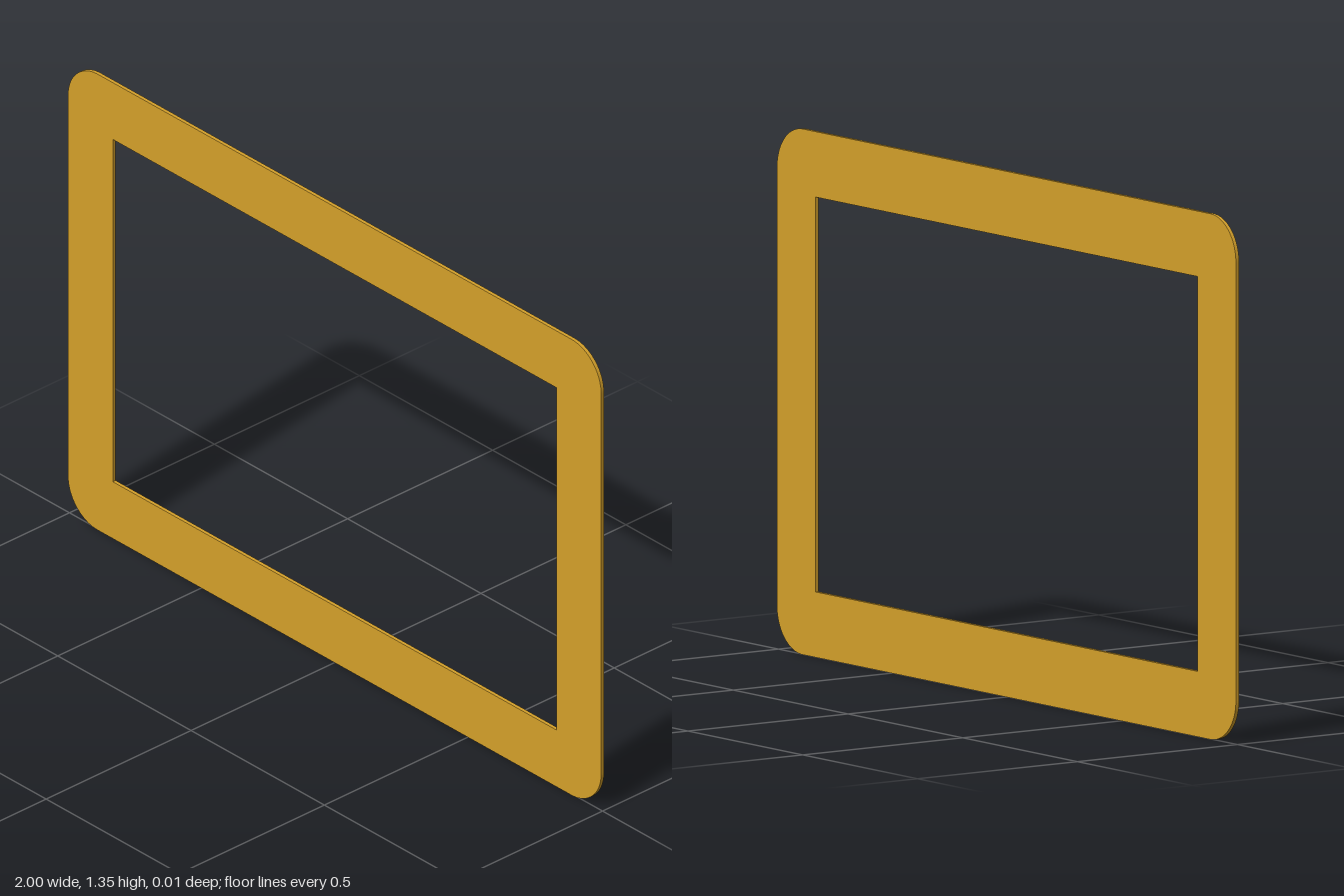
import * as THREE from 'three';

const WIDTH = 2, HEIGHT = 1.35, DEPTH = 0.01, BORDER = 0.168, RADIUS = 0.112;

// Rectangle outline with rounded corners, standing on y = 0
function roundedRect(w, h, r) {
  const s = new THREE.Shape();
  const x = w / 2;
  s.moveTo(-x + r, 0);
  s.lineTo(x - r, 0);
  s.absarc(x - r, r, r, -Math.PI / 2, 0);
  s.lineTo(x, h - r);
  s.absarc(x - r, h - r, r, 0, Math.PI / 2);
  s.lineTo(-x + r, h);
  s.absarc(-x + r, h - r, r, Math.PI / 2, Math.PI);
  s.lineTo(-x, r);
  s.absarc(-x + r, r, r, Math.PI, Math.PI * 1.5);
  return s;
}

// Square-cornered opening, wound clockwise
function opening(w, h, b) {
  const x = w / 2 - b;
  return new THREE.Path([
    new THREE.Vector2(-x, b), new THREE.Vector2(-x, h - b),
    new THREE.Vector2(x, h - b), new THREE.Vector2(x, b),
  ]);
}

export function createModel() {
  const group = new THREE.Group();
  group.name = 'flatFrame';

  // Thin plate with rounded outer corners and a rectangular window
  const shape = roundedRect(WIDTH, HEIGHT, RADIUS);
  shape.holes.push(opening(WIDTH, HEIGHT, BORDER));
  const geometry = new THREE.ExtrudeGeometry(shape, {
    depth: DEPTH, bevelEnabled: false, curveSegments: 16,
  });
  geometry.translate(0, 0, -DEPTH / 2);

  const frame = new THREE.Mesh(geometry, new THREE.MeshStandardMaterial({ color: 0xd4a02a }));
  frame.name = 'frame';
  group.add(frame);
  return group;
}
